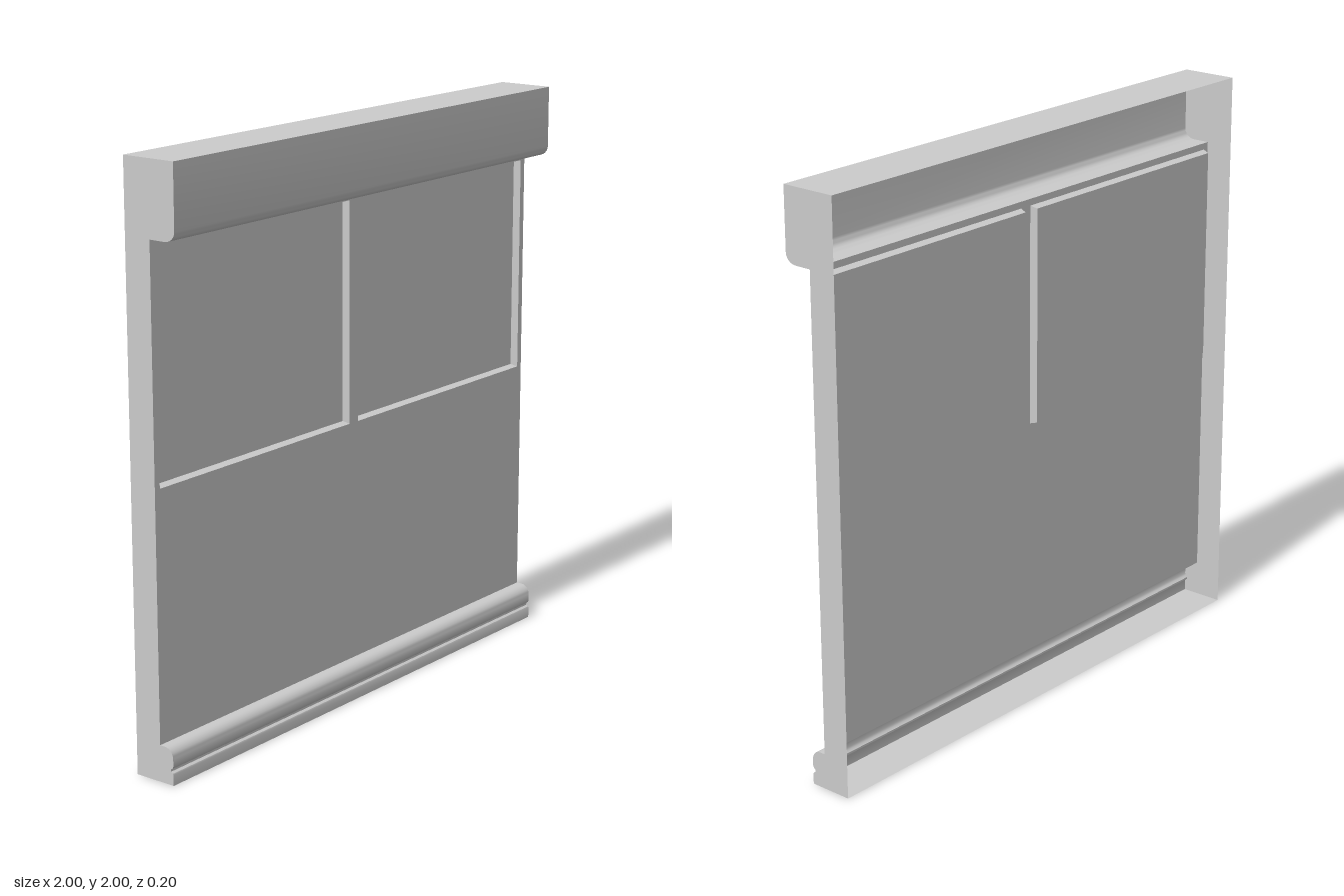
import * as THREE from 'three';
import { toCreasedNormals } from 'three/addons/utils/BufferGeometryUtils.js';

const BACK = -0.1, WALL_TOP = 1.753, WALL_BOTTOM = 0.125;
const material = new THREE.MeshStandardMaterial({ color: 0xcccccc, side: THREE.DoubleSide });

// Quarter-round points as [z, y], from angle a to angle b (degrees)
function arc(cz, cy, rz, ry, a, b, steps = 6) {
  return Array.from({ length: steps + 1 }, (_, i) => {
    const t = THREE.MathUtils.degToRad(a + (b - a) * i / steps);
    return [cz + rz * Math.cos(t), cy + ry * Math.sin(t)];
  });
}

// Surface from a list of four-cornered faces, counter-clockwise from outside
function quads(list) {
  const pos = [];
  for (const [a, b, c, d] of list) pos.push(...a, ...b, ...c, ...a, ...c, ...d);
  const geo = new THREE.BufferGeometry();
  geo.setAttribute('position', new THREE.Float32BufferAttribute(pos, 3));
  return toCreasedNormals(geo, 0.6);
}

// Moulding strip running the full width along a [z, y] profile
function strip(profile) {
  return quads(profile.slice(1).map(([z, y], i) => {
    const [pz, py] = profile[i];
    return [[-1, py, pz], [-1, y, z], [1, y, z], [1, py, pz]];
  }));
}

function rect(x0, x1, y0, y1, z) {
  return [[x0, y0, z], [x1, y0, z], [x1, y1, z], [x0, y1, z]];
}

export function createModel() {
  const group = new THREE.Group();
  const add = (name, geo) => {
    const mesh = new THREE.Mesh(geo, material);
    mesh.name = name;
    group.add(mesh);
  };

  // Header box with rounded lower edge, and skirting with a grooved foot
  const header = [[BACK, 2], [0.1, 2], ...arc(0.06, 1.788, 0.04, 0.035, 0, -90), [0, WALL_TOP]];
  const skirting = [[0, WALL_BOTTOM], ...arc(0.02, 0.09, 0.034, 0.035, 90, 0),
    [0.054, 0.066], [0.051, 0.059], [0.044, 0.053], [0.044, 0.046], [0.052, 0.041],
    [0.054, 0.036], [0.054, 0], [BACK, 0]];
  add('header', strip(header));
  add('skirting', strip(skirting));

  // Front wall with two openings, each lined by a shallow recessed panel
  const wall = new THREE.Shape([[-1, WALL_BOTTOM], [1, WALL_BOTTOM], [1, WALL_TOP], [-1, WALL_TOP]]
    .map(p => new THREE.Vector2(...p)));
  const bevel = 0.007, depth = 0.025;
  for (const [side, x0, x1] of [['right', -0.977, -0.023], ['left', 0.023, 0.977]]) {
    const outer = rect(x0, x1, 0.967, 1.73, 0);
    const inner = rect(x0 + bevel, x1 - bevel, 0.967 + bevel, 1.73 - bevel, -depth);
    wall.holes.push(new THREE.Path(outer.map(p => new THREE.Vector2(p[0], p[1]))));
    const sides = outer.map((p, i) => {
      const j = (i + 1) % 4;
      return [p, outer[j], inner[j], inner[i]];
    });
    add(side + 'RecessedPanel', quads([...sides, inner]));
  }
  add('frontWall', new THREE.ShapeGeometry(wall));

  // End walls follow the whole profile; the back stays open
  const outline = [...header, ...skirting];
  for (const s of [-1, 1]) {
    const end = new THREE.ShapeGeometry(new THREE.Shape(outline.map(([z, y]) => new THREE.Vector2(-s * z, y))));
    end.rotateY(s * Math.PI / 2).translate(s, 0, 0);
    add(s < 0 ? 'rightEndWall' : 'leftEndWall', end);
  }
  return group;
}
